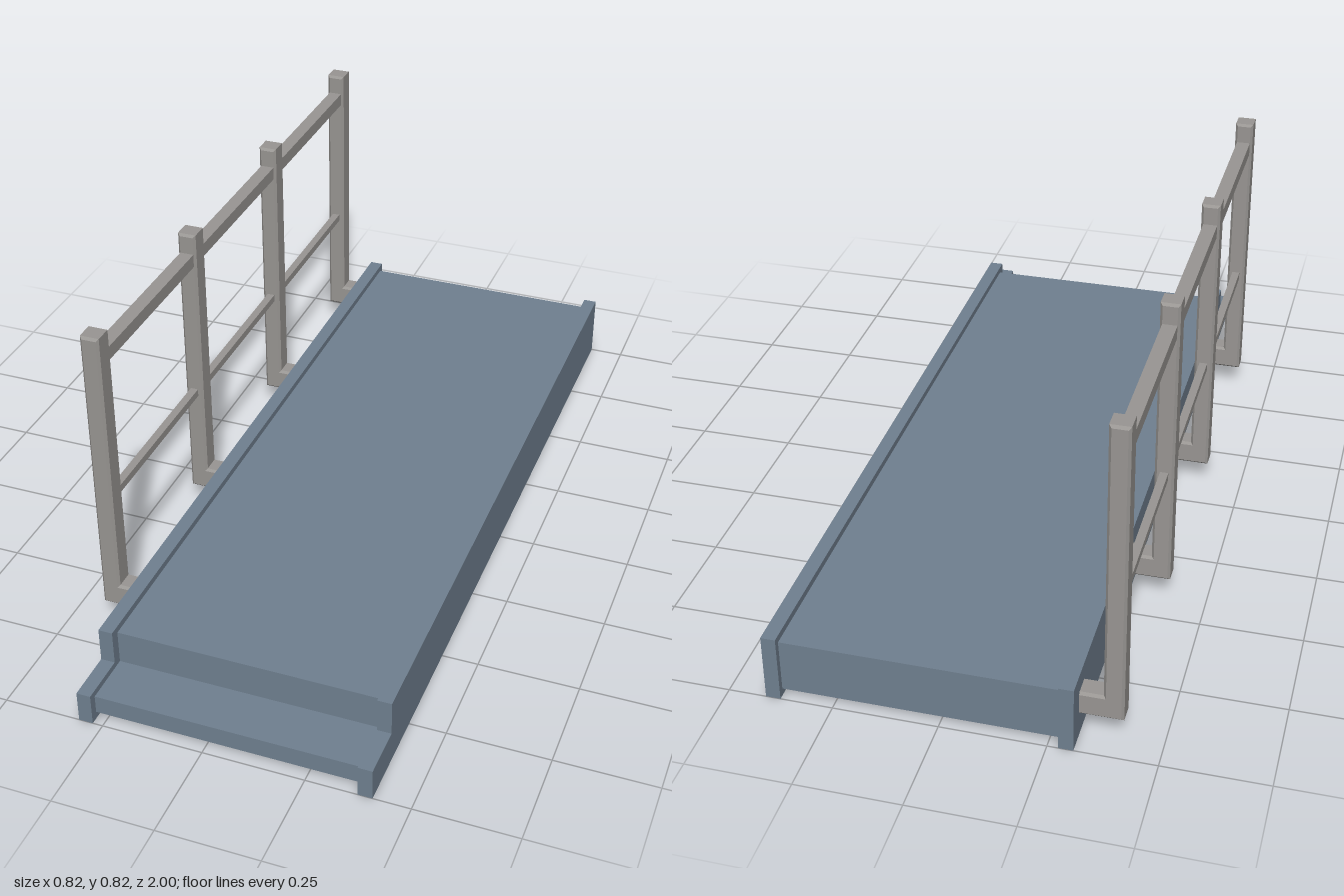
import * as THREE from 'three';

const deckMat = new THREE.MeshStandardMaterial({ color: 0x708090, flatShading: true });
const railMat = new THREE.MeshStandardMaterial({ color: 0x999693, flatShading: true });

// Extrude a closed outline by a total depth, centred on its own z.
function extrude(points, depth, bevel = 0) {
  const shape = new THREE.Shape(points.map(([x, y]) => new THREE.Vector2(x, y)));
  const geo = new THREE.ExtrudeGeometry(shape, {
    depth: depth - 2 * bevel,
    bevelEnabled: bevel > 0,
    bevelThickness: bevel,
    bevelSize: bevel,
    bevelOffset: -bevel,
    bevelSegments: 1,
  });
  return geo.translate(0, 0, bevel - depth / 2);
}

export function createModel() {
  const group = new THREE.Group();
  const add = (name, geo, mat, x, y, z) => {
    const mesh = new THREE.Mesh(geo, mat);
    mesh.name = name;
    mesh.position.set(x, y, z);
    group.add(mesh);
    return mesh;
  };

  // Stepped side profiles are drawn in (z, y) and turned to run across x.
  const sideProfile = (points, width) =>
    extrude(points.map(([z, y]) => [-z, y]), width).rotateY(Math.PI / 2);

  // Walking deck with a lower step at the front
  const deck = sideProfile([
    [0.98, 0.018], [0.98, 0.065], [0.85, 0.065],
    [0.85, 0.152], [-0.985, 0.152], [-0.985, 0.018],
  ].reverse(), 0.65);
  add('deck', deck, deckMat, 0.05, 0, 0);

  // Side beams, notched at the step
  const beam = sideProfile([
    [1, 0], [1, 0.081], [0.875, 0.081],
    [0.875, 0.169], [-1, 0.169], [-1, 0],
  ].reverse(), 0.035);
  add('rightBeam', beam, deckMat, -0.2925, 0, 0);
  add('leftBeam', beam, deckMat, 0.3925, 0, 0);

  // L-shaped chamfered posts, feet fixed into the right beam
  const post = extrude([
    [-0.411, 0.062], [-0.3, 0.062], [-0.3, 0.123],
    [-0.364, 0.123], [-0.364, 0.823], [-0.411, 0.823],
  ], 0.055, 0.006);
  const firstZ = 0.637, spacing = 0.52, count = 4;
  for (let i = 0; i < count; i++) {
    add('post' + (i + 1), post, railMat, 0, 0, firstZ - i * spacing);
  }

  // Handrail and thinner middle rail
  const length = spacing * (count - 1);
  const midZ = firstZ - length / 2;
  add('handrail', new THREE.BoxGeometry(0.035, 0.034, length), railMat, -0.3875, 0.754, midZ);
  add('middleRail', new THREE.BoxGeometry(0.02, 0.02, length), railMat, -0.3875, 0.364, midZ);

  return group;
}
